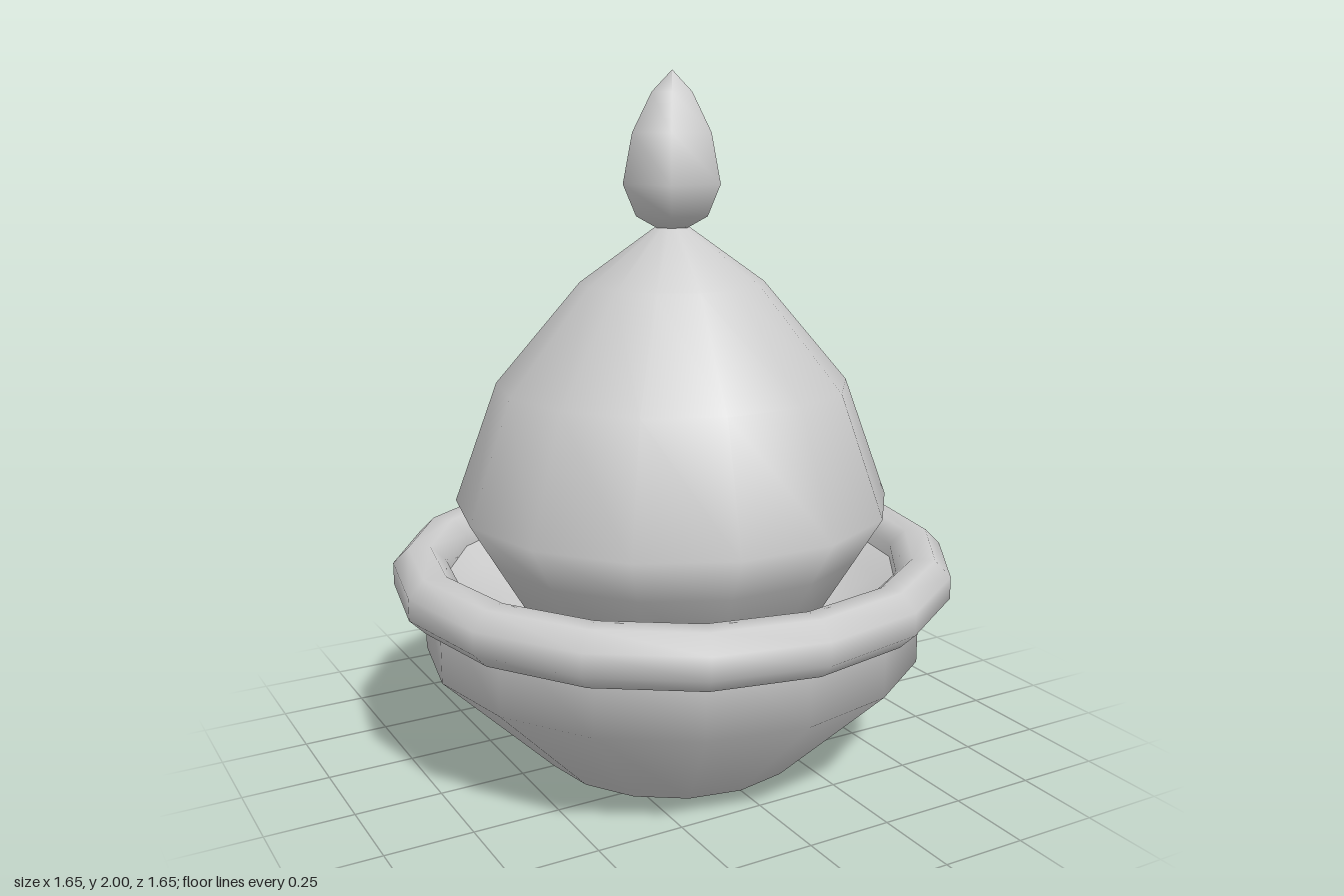
import * as THREE from 'three';

export function createModel() {
  const model = new THREE.Group();
  const grey = new THREE.MeshStandardMaterial({ color: 0xcccccc });
  grey.name = 'plain grey';

  // Turns a [radius, height] profile; a corner of the polygon lies on the x axis.
  function turned(name, profile, sides) {
    const points = profile.map(([r, y]) => new THREE.Vector2(r, y));
    const geometry = new THREE.LatheGeometry(points, sides, Math.PI / 2);
    const mesh = new THREE.Mesh(geometry, grey);
    mesh.name = name;
    model.add(mesh);
  }

  // Bowl with a recess underneath and a hollow inside
  turned('bowl', [
    [0, 0.1], [0.18, 0.1], [0.255, 0], [0.4, 0], [0.735, 0.33], [0.735, 0.56],
    [0.67, 0.56], [0.62, 0.5], [0.4, 0.4], [0, 0.4],
  ], 16);

  // Thick rounded rim with an eight-sided section
  const section = [];
  for (let i = 0; i <= 8; i++) {
    const a = (i / 8) * Math.PI * 2 - Math.PI * 0.875;
    section.push([0.745 + 0.084 * Math.cos(a), 0.563 + 0.084 * Math.sin(a)]);
  }
  turned('rim', section, 16);

  // Domed lid, tapering down into the bowl
  turned('lid', [
    [0, 0.44], [0.44, 0.44], [0.56, 0.64], [0.637, 0.77], [0.51, 1.12],
    [0.265, 1.41], [0.05, 1.565], [0, 1.57],
  ], 14);

  // Bud-shaped knob
  turned('knob', [
    [0, 1.565], [0.05, 1.565], [0.116, 1.6], [0.157, 1.69], [0.127, 1.83],
    [0.065, 1.94], [0, 2],
  ], 6);

  return model;
}
